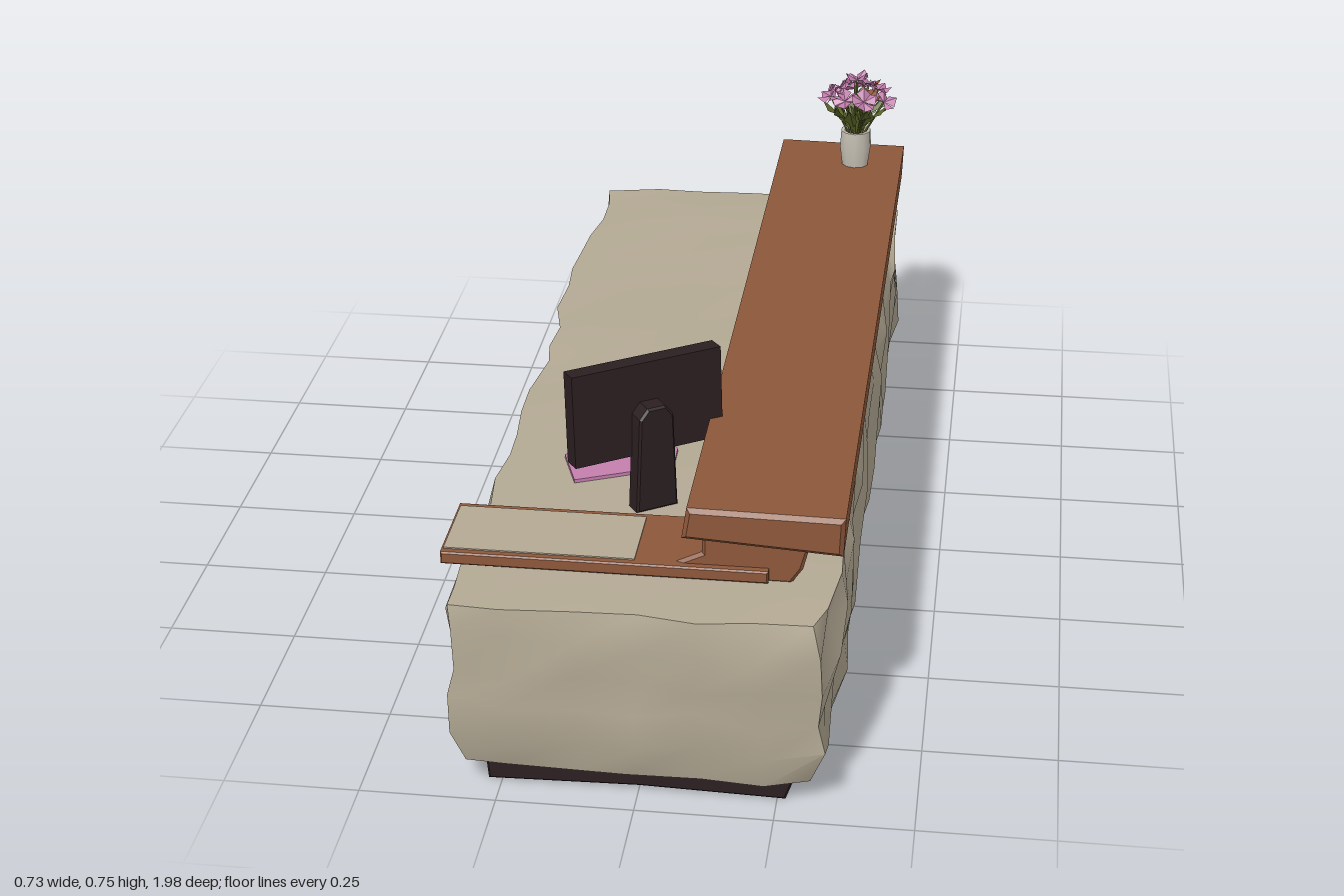
import * as THREE from 'three';
import { mergeVertices, mergeGeometries, toCreasedNormals } from 'three/addons/utils/BufferGeometryUtils.js';

const mat = (name, color, side = THREE.FrontSide) => {
  const m = new THREE.MeshStandardMaterial({ color, side });
  m.name = name;
  return m;
};

// Repeatable noise in -1..1
const hash = (a, b, c, k) => {
  const s = Math.sin(a * 127.1 + b * 311.7 + c * 74.7 + k * 53.3) * 43758.5453;
  return (s - Math.floor(s)) * 2 - 1;
};

// Extrudes an x/y outline from z0 to z1 with a small bevel
function beam(points, z0, z1, bevel = 0.006) {
  const shape = new THREE.Shape(points.map(([x, y]) => new THREE.Vector2(x, y)));
  const g = new THREE.ExtrudeGeometry(shape, {
    depth: z1 - z0 - bevel * 2, bevelEnabled: true, bevelSize: bevel,
    bevelThickness: bevel, bevelOffset: -bevel, bevelSegments: 1,
  });
  return g.translate(0, 0, z0 + bevel);
}

// Rough stone block: a box grid with jittered sides and worn edges
function stoneGeometry() {
  let g = new THREE.BoxGeometry(0.68, 0.335, 1.95, 6, 5, 20);
  g.deleteAttribute('normal');
  g.deleteAttribute('uv');
  g = mergeVertices(g, 1e-4);
  const p = g.attributes.position;
  for (let i = 0; i < p.count; i++) {
    let x = p.getX(i), y = p.getY(i), z = p.getZ(i);
    const h = (k) => hash(Math.round(x * 100), Math.round(y * 100), Math.round(z * 100), k);
    const onX = Math.abs(x) > 0.339, onZ = Math.abs(z) > 0.974;
    const top = y > 0.167, bottom = y < -0.167;
    const [a, b, c] = [h(1), h(2), h(3)];
    const sx = Math.sign(x), sz = Math.sign(z);
    if (onX) x += sx * (a * 0.016 + (bottom ? -0.022 : top ? -0.004 : 0.004));
    else x += a * 0.02;
    if (onZ) z += sz * (c * 0.009 + (bottom ? -0.015 : top ? -0.005 : 0.004));
    else z += c * 0.025;
    if (top) y += onX || onZ ? -0.006 + b * 0.006 : b * 0.002;
    else if (bottom) y += b * 0.004;
    else y += b * 0.018;
    if (onX && onZ) { x -= sx * 0.012; z -= sz * 0.012; }
    p.setXYZ(i, x, y + 0.222, z);
  }
  return toCreasedNormals(g, 0.75);
}

// Folded kite used for petals and leaves, pointing along +y
function blade(length, width, fold) {
  const g = new THREE.BufferGeometry();
  g.setAttribute('position', new THREE.Float32BufferAttribute([
    0, 0, 0, width / 2, length * 0.6, fold, 0, length, 0,
    0, 0, 0, 0, length, 0, -width / 2, length * 0.6, fold,
  ], 3));
  g.computeVertexNormals();
  return g;
}

// Places a blade at a point, leaning outward from the vertical
function lean(g, turn, tilt, x, y, z) {
  return g.rotateX(tilt).rotateY(turn).translate(x, y, z);
}

export function createModel() {
  const stone = mat('stone', 0xb3a994);
  const wood = mat('wood', 0x8c573a);
  const dark = mat('dark plastic', 0x2b1f21);
  const pink = mat('pink', 0xc47fae, THREE.DoubleSide);
  const green = mat('leaf green', 0x5a6427, THREE.DoubleSide);
  const white = mat('vase white', 0xc6c0b3);
  const brownPetal = mat('brown petal', 0x8c573a, THREE.DoubleSide);

  const model = new THREE.Group();
  model.name = 'receptionDesk';
  const add = (name, geo, material, parent = model) => {
    const m = new THREE.Mesh(geo, material);
    m.name = name;
    parent.add(m);
    return m;
  };

  // Desk body
  add('plinth', beam([[-0.275, 0.004], [0, 0.01], [0.265, 0.003], [0.285, 0.06], [-0.28, 0.06]], -0.945, 0.935, 0.004), dark);
  add('stoneBody', stoneGeometry(), stone);

  // Low shelf with a stone inlay
  add('lowShelf', beam([[-0.368, 0.391], [0.22, 0.391], [0.22, 0.415], [-0.368, 0.415]], 0.655, 0.84, 0.003), wood);
  add('shelfInlay', new THREE.BoxGeometry(0.345, 0.004, 0.155).translate(-0.192, 0.4155, 0.748), stone);

  // Raised counter on its flared support
  add('counterSupport', beam([
    [0.05, 0.385], [0.26, 0.385], [0.28, 0.415], [0.295, 0.475], [0.1, 0.475], [0.1, 0.437], [0.05, 0.413],
  ], -0.9, 0.825), wood);
  add('counterTop', beam([[0.066, 0.473], [0.352, 0.455], [0.355, 0.53], [0.075, 0.534]], -0.955, 0.845, 0.008), wood);

  // Monitor, turned to face the seat
  const monitor = new THREE.Group();
  monitor.name = 'monitor';
  monitor.position.set(-0.04, 0, 0.545);
  monitor.rotation.y = 0.58;
  model.add(monitor);
  const screen = add('screen', new THREE.BoxGeometry(0.3, 0.18, 0.036), dark, monitor);
  screen.position.y = 0.583;
  screen.rotation.x = -0.06;
  const stand = beam([[-0.042, 0.39], [0.042, 0.39], [0.034, 0.58], [0.018, 0.6], [-0.018, 0.6], [-0.034, 0.58]], 0.015, 0.055, 0.004);
  add('monitorStand', stand, dark, monitor);

  // Desk pad
  const pad = new THREE.Shape([
    [-0.215, -0.41], [-0.18, -0.51], [-0.002, -0.43], [-0.003, -0.36], [-0.03, -0.315], [-0.06, -0.31],
  ].map(([x, y]) => new THREE.Vector2(x, y)));
  add('deskPad', new THREE.ExtrudeGeometry(pad, { depth: 0.007, bevelEnabled: false })
    .rotateX(-Math.PI / 2).translate(0, 0.39, 0), pink);

  // Vase of flowers
  const bouquet = new THREE.Group();
  bouquet.name = 'flowerVase';
  bouquet.position.set(0.25, 0.53, -0.825);
  model.add(bouquet);
  const profile = [[0, 0], [0.03, 0], [0.036, 0.045], [0.034, 0.083], [0.026, 0.083], [0.022, 0.065], [0, 0.065]];
  add('vase', toCreasedNormals(new THREE.LatheGeometry(profile.map(([x, y]) => new THREE.Vector2(x, y)), 10), 0.7), white, bouquet);

  const leaves = [], pinkPetals = [], brownPetals = [];
  for (let i = 0; i < 18; i++) {
    const turn = i * 2.4, ring = i % 3;
    const r = 0.008 + ring * 0.012;
    leaves.push(lean(blade(0.06, 0.032, 0.008), turn, 0.35 + ring * 0.25,
      Math.sin(turn) * r, 0.075 + ring * 0.02, Math.cos(turn) * r));
  }
  for (let i = 0; i < 13; i++) {
    const turn = i * 2.4, r = 0.068 * Math.sqrt(i / 12);
    const x = Math.sin(turn) * r, z = Math.cos(turn) * r;
    const y = 0.192 - r * 0.5 + hash(i, 1, 2, 3) * 0.01;
    // Stem
    const path = new THREE.LineCurve3(new THREE.Vector3(x * 0.2, 0.065, z * 0.2), new THREE.Vector3(x, y, z));
    const stem = new THREE.TubeGeometry(path, 1, 0.0025, 4).toNonIndexed();
    stem.deleteAttribute('uv');
    leaves.push(stem);
    // Petals, tipped outward with the flower
    const target = i % 6 === 3 ? brownPetals : pinkPetals;
    for (let k = 0; k < 5; k++) {
      const petal = blade(0.032, 0.032, 0.008).rotateX(1.1 + hash(i, k, 5, 7) * 0.3).rotateY(k * Math.PI * 0.4 + i);
      target.push(lean(petal, turn, r * 10, x, y, z));
    }
  }
  add('leavesAndStems', mergeGeometries(leaves), green, bouquet);
  add('pinkPetals', mergeGeometries(pinkPetals), pink, bouquet);
  add('brownPetals', mergeGeometries(brownPetals), brownPetal, bouquet);

  return model;
}
